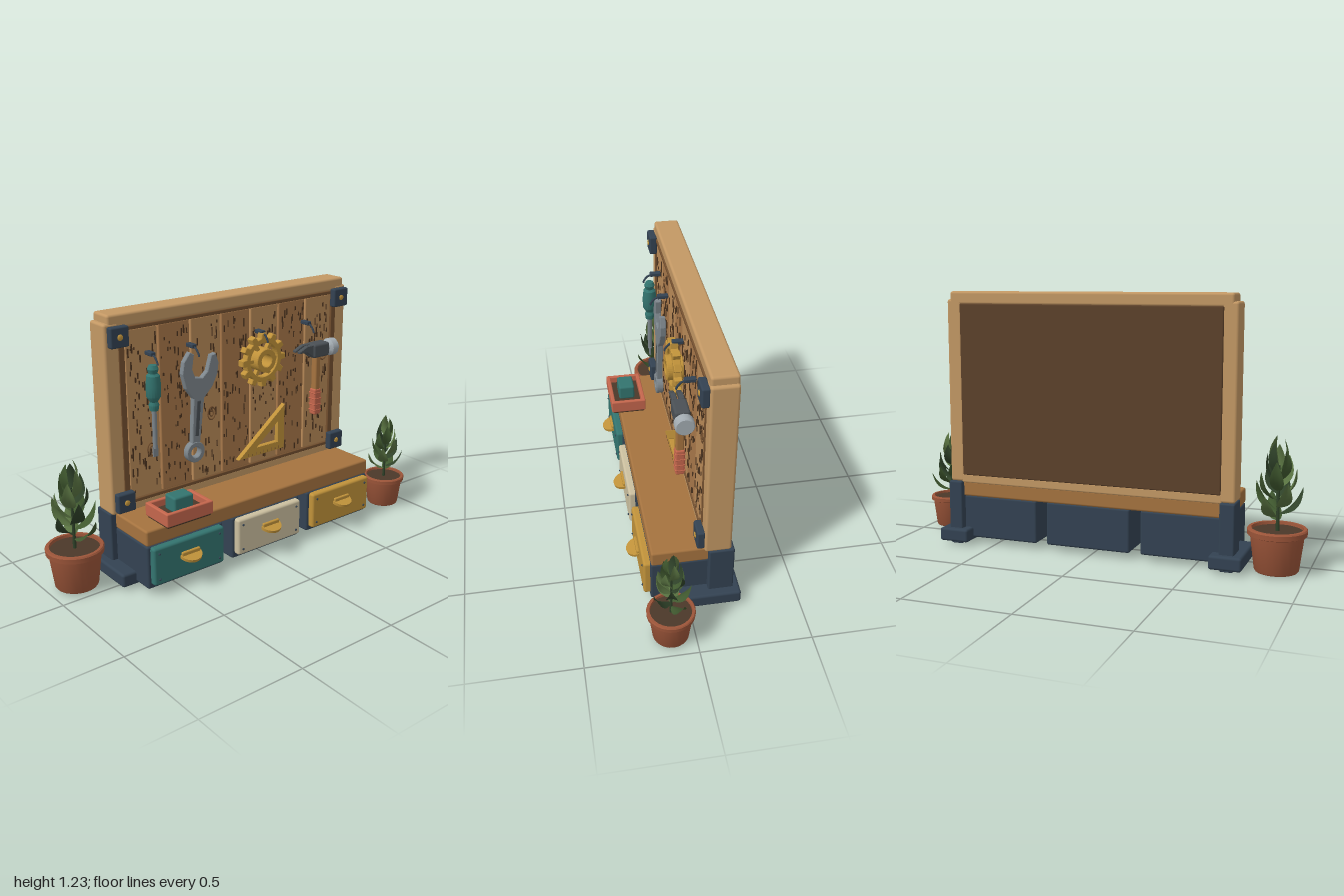
import * as THREE from 'three';
import { mergeGeometries, toCreasedNormals } from 'three/addons/utils/BufferGeometryUtils.js';
import { RoundedBoxGeometry } from 'three/addons/geometries/RoundedBoxGeometry.js';

const C = {
  frame: 0xc39864, trim: 0x74502f, panel: 0x5c412a, shelf: 0xa5733f, planks: [0xb98a58, 0xa8784a],
  grain: 0x4e3520, navy: 0x334252, teal: 0x33746f, cream: 0xcbbf9f, mustard: 0xc0923a, coral: 0xc4664c,
  steel: 0x7d868c, darkSteel: 0x4a5055, silver: 0xa3acb2, pot: 0x9c5539, soil: 0x4b3829,
  leaves: [0x40592f, 0x5a7442, 0x2f4229],
};

let seed = 7;
const rand = () => (seed = (seed * 16807) % 2147483647) / 2147483647;

function mesh(parent, name, geo, color, side = THREE.FrontSide) {
  const m = new THREE.Mesh(geo, new THREE.MeshStandardMaterial({ color, side }));
  m.name = name;
  parent.add(m);
  return m;
}

// Rounded box given by its extents on each axis
function box(parent, name, [x0, x1], [y0, y1], [z0, z1], color, r = 0.008) {
  const m = mesh(parent, name, new RoundedBoxGeometry(x1 - x0, y1 - y0, z1 - z0, 2, r), color);
  m.position.set((x0 + x1) / 2, (y0 + y1) / 2, (z0 + z1) / 2);
  return m;
}

// Flat plate with a small bevel, centred on z = 0
function plate(parent, name, shape, depth, color) {
  const b = 0.003;
  const geo = new THREE.ExtrudeGeometry(shape, {
    depth: depth - 2 * b, bevelThickness: b, bevelSize: b, bevelOffset: -b, bevelSegments: 1, curveSegments: 20 });
  geo.translate(0, 0, b - depth / 2);
  return mesh(parent, name, geo, color);
}

const polygon = pts => new THREE.Shape(pts.map(p => new THREE.Vector2(...p)));
const circle = (x, y, r) => new THREE.Path().absarc(x, y, r, 0, Math.PI * 2, true);
const lathe = (pts, n = 24) =>
  toCreasedNormals(new THREE.LatheGeometry(pts.map(p => new THREE.Vector2(...p)), n), 0.6);

function group(parent, name, x, y, z) {
  const g = new THREE.Group();
  g.name = name;
  g.position.set(x, y, z);
  parent.add(g);
  return g;
}

function buildBoard(root) {
  const g = group(root, 'toolBoard', 0, 0, 0);
  // Outer frame
  for (const x of [-0.69, 0.645]) box(g, 'framePost', [x, x + 0.075], [0.31, 1.19], [-0.19, -0.07], C.frame, 0.012);
  box(g, 'topRail', [-0.67, 0.705], [1.165, 1.227], [-0.19, -0.072], C.frame, 0.012);
  box(g, 'bottomRail', [-0.63, 0.66], [0.305, 0.35], [-0.19, -0.072], C.frame, 0.008);
  box(g, 'backPanel', [-0.625, 0.65], [0.345, 1.17], [-0.197, -0.1], C.panel, 0.006);
  // Dark inner trim
  for (const x of [-0.622, 0.625]) box(g, 'sideTrim', [x, x + 0.03], [0.345, 1.17], [-0.15, -0.068], C.trim, 0.004);
  for (const y of [0.345, 1.15]) box(g, 'crossTrim', [-0.6, 0.63], [y, y + 0.018], [-0.15, -0.068], C.trim, 0.004);
  // Planks and their grain
  const w = 1.217 / 7, grain = [];
  for (let i = 0; i < 7; i++) {
    const x = -0.592 + i * w;
    box(g, 'plank', [x + 0.003, x + w - 0.003], [0.362, 1.152], [-0.12, -0.073], C.planks[i % 2], 0.006);
    for (let k = 0; k < 65; k++) {
      const s = new THREE.BoxGeometry(0.004 + rand() * 0.003, 0.008 + rand() * 0.035, 0.006);
      s.translate(x + 0.014 + rand() * (w - 0.028), 0.39 + rand() * 0.73, -0.0725);
      grain.push(s);
    }
  }
  mesh(g, 'woodGrain', mergeGeometries(grain), C.grain);
  for (const [x, y] of [[-0.47, 0.58], [-0.13, 0.68], [0.58, 0.85]])
    for (const r of [0.01, 0.022]) {
      const knot = mesh(g, 'woodKnot', new THREE.TorusGeometry(r, 0.003, 6, 16), C.trim);
      knot.position.set(x, y, -0.072);
      knot.scale.y = 1.4;
    }
  // Corner brackets with a rivet
  for (const x of [-0.63, 0.663]) for (const y of [0.37, 1.133]) {
    box(g, 'cornerBracket', [x - 0.046, x + 0.046], [y - 0.046, y + 0.046], [-0.073, -0.037], C.navy, 0.008);
    const rivet = mesh(g, 'bracketRivet', new THREE.SphereGeometry(0.014, 12, 8), C.mustard);
    rivet.position.set(x, y, -0.037);
    rivet.scale.z = 0.4;
  }
}

function buildBench(root) {
  const g = group(root, 'bench', 0, 0, 0);
  box(g, 'shelf', [-0.663, 0.695], [0.237, 0.312], [-0.18, 0.163], C.shelf, 0.01);
  // Three cabinets, each with a drawer front, handle and screws
  [[-0.455, C.teal], [0.014, C.cream], [0.483, C.mustard]].forEach(([x, color]) => {
    const d = group(g, 'drawer', x, 0, 0);
    box(d, 'cabinet', [-0.208, 0.208], [0.03, 0.238], [-0.17, 0.165], C.navy, 0.01);
    box(d, 'drawerFront', [-0.193, 0.193], [0.052, 0.234], [0.15, 0.195], color, 0.012);
    const grip = mesh(d, 'handle', new THREE.CylinderGeometry(0.055, 0.055, 0.014, 20, 1, false, -Math.PI / 2, Math.PI), C.mustard, THREE.DoubleSide);
    grip.position.set(0, 0.157, 0.193);
    grip.rotation.x = 0.3;
    box(d, 'handlePlate', [-0.05, 0.05], [0.155, 0.178], [0.19, 0.206], C.mustard, 0.006);
    for (const sx of [-0.165, 0.165]) for (const y of [0.08, 0.205]) {
      const s = mesh(d, 'screw', new THREE.SphereGeometry(0.006, 8, 6), C.navy);
      s.position.set(sx, y, 0.195);
    }
  });
  // Uprights standing on broad feet
  for (const s of [-1, 1]) {
    const f = group(g, 'foot', 0.016 + s * 0.673, 0, 0);
    box(f, 'upright', [-0.035, 0.035], [0.02, 0.312], [-0.205, -0.09], C.navy, 0.008);
    box(f, 'footBase', [-0.075, 0.075], [0.016, 0.08], [-0.235, 0.065], C.navy, 0.012);
    box(f, 'footPad', [-0.03, 0.03], [0, 0.03], [-0.2, -0.09], C.navy, 0.006);
  }
  // Open tray with a small block
  const t = group(g, 'tray', -0.456, 0, 0.118);
  box(t, 'trayBase', [-0.118, 0.118], [0.312, 0.352], [-0.08, 0.08], C.soil, 0.005);
  for (const s of [-1, 1]) {
    box(t, 'trayWall', [s * 0.115 - 0.01, s * 0.115 + 0.01], [0.322, 0.385], [-0.088, 0.088], C.coral, 0.006);
    box(t, 'trayWall', [-0.12, 0.12], [0.322, 0.385], [s * 0.078 - 0.01, s * 0.078 + 0.01], C.coral, 0.006);
  }
  box(t, 'trayBlock', [-0.052, 0.052], [0.35, 0.425], [-0.04, 0.04], C.teal, 0.01);
}

function buildTools(root) {
  // Hooks
  const bend = new THREE.CatmullRomCurve3([[-0.08, 1.035], [-0.04, 1.035], [-0.01, 1.028], [0.01, 1.005], [0.013, 0.995]]
    .map(([z, y]) => new THREE.Vector3(0, y, z)));
  for (const x of [-0.478, -0.258, 0.142, 0.435]) {
    const h = group(root, 'hook', x, 0, 0);
    mesh(h, 'hookWire', new THREE.TubeGeometry(bend, 12, 0.005, 6), C.navy);
    box(h, 'hookBlock', [-0.013, 0.013], [1.028, 1.046], [-0.072, -0.02], C.navy, 0.004);
  }
  // Screwdriver
  const s = group(root, 'screwdriver', -0.485, 0, -0.018);
  mesh(s, 'screwdriverHandle', lathe([[0, 0.785], [0.02, 0.785], [0.024, 0.81], [0.018, 0.825], [0.033, 0.85],
    [0.035, 0.9], [0.03, 0.945], [0.02, 0.955], [0.026, 0.975], [0.018, 0.992], [0, 0.995]], 16), C.teal);
  mesh(s, 'screwdriverShaft', new THREE.CylinderGeometry(0.011, 0.011, 0.19, 12), C.steel).position.y = 0.7;
  box(s, 'screwdriverTip', [-0.014, 0.014], [0.565, 0.615], [-0.004, 0.004], C.steel, 0.003);

  // Wrench: open jaw above, ring below
  const w = group(root, 'wrench', -0.231, 0.91, -0.028);
  w.rotation.z = -0.09;
  const body = polygon([[-0.022, -0.34], [-0.03, -0.12], [-0.075, -0.07], [-0.1, 0], [-0.095, 0.055], [-0.066, 0.1],
    [-0.042, 0.088], [-0.047, 0.02], [-0.028, -0.02], [0.012, -0.025], [0.04, 0.005], [0.055, 0.078],
    [0.08, 0.085], [0.1, 0.04], [0.098, -0.01], [0.073, -0.07], [0.03, -0.12], [0.022, -0.34]]);
  plate(w, 'wrenchBody', body, 0.028, C.steel);
  box(w, 'wrenchGroove', [-0.011, 0.011], [-0.3, -0.13], [-0.016, 0.016], C.darkSteel, 0.004);
  const ring = new THREE.Shape().absarc(0, -0.378, 0.05, 0, Math.PI * 2);
  ring.holes.push(circle(0, -0.378, 0.026));
  plate(w, 'wrenchRing', ring, 0.034, C.steel);

  // Gear with hub and spokes
  const g = group(root, 'gear', 0.142, 0.905, -0.03);
  const teeth = [];
  for (let i = 0; i < 12; i++)
    for (const [da, r] of [[-0.16, 0.108], [-0.1, 0.132], [0.1, 0.132], [0.16, 0.108]]) {
      const a = (i / 12) * Math.PI * 2 + da;
      teeth.push([r * Math.cos(a), r * Math.sin(a)]);
    }
  const rim = polygon(teeth);
  rim.holes.push(circle(0, 0, 0.082));
  plate(g, 'gearRim', rim, 0.036, C.mustard);
  const hub = new THREE.Shape().absarc(0, 0, 0.058, 0, Math.PI * 2);
  hub.holes.push(circle(0, 0, 0.03));
  plate(g, 'gearHub', hub, 0.075, C.mustard);
  for (let i = 0; i < 6; i++) {
    const a = (i / 6) * Math.PI * 2;
    const spoke = mesh(g, 'gearSpoke', new THREE.BoxGeometry(0.045, 0.016, 0.024), C.mustard);
    spoke.position.set(0.068 * Math.cos(a), 0.068 * Math.sin(a), 0);
    spoke.rotation.z = a;
  }

  // Set square with measuring marks
  const q = group(root, 'setSquare', 0, 0, -0.03);
  const tri = polygon([[-0.01, 0.425], [0.28, 0.425], [0.28, 0.655]]);
  tri.holes.push(new THREE.Path([[0.105, 0.468], [0.237, 0.572], [0.237, 0.468]].map(p => new THREE.Vector2(...p))));
  plate(q, 'setSquarePlate', tri, 0.026, C.mustard);
  for (let i = 0; i < 9; i++)
    box(q, 'setSquareMark', [0.05 + i * 0.024, 0.053 + i * 0.024], [0.43, i % 2 ? 0.44 : 0.446], [0.011, 0.015], C.trim, 0.001);

  // Hammer
  const h = group(root, 'hammer', 0.467, 0.905, 0);
  box(h, 'hammerHandle', [-0.016, 0.016], [-0.32, 0.02], [-0.018, 0.018], C.shelf, 0.008);
  box(h, 'hammerGrip', [-0.022, 0.022], [-0.335, -0.2], [-0.021, 0.021], C.coral, 0.008);
  for (let i = 0; i < 4; i++)
    box(h, 'gripRidge', [-0.024, 0.024], [-0.315 + i * 0.03, -0.308 + i * 0.03], [-0.023, 0.023], C.coral, 0.003);
  box(h, 'hammerHead', [-0.045, 0.06], [-0.034, 0.036], [-0.034, 0.034], C.darkSteel, 0.012);
  const claw = polygon([[-0.04, -0.03], [-0.04, 0.034], [-0.085, 0.033], [-0.132, 0.012], [-0.132, 0.003], [-0.085, 0.003]]);
  for (const z of [-0.016, 0.016]) plate(h, 'hammerClaw', claw, 0.022, C.darkSteel).position.z = z;
  const face = mesh(h, 'hammerFace', lathe([[0, 0], [0.028, 0], [0.028, 0.015], [0.043, 0.028], [0.043, 0.062], [0.038, 0.068], [0, 0.068]], 20), C.silver);
  face.rotation.z = -Math.PI / 2;
  face.position.x = 0.05;
}

// Pointed leaf growing along +y from its stalk, cupped and slightly bent
function leafGeometry(len, wid) {
  const geo = new THREE.PlaneGeometry(1, 1, 4, 8), p = geo.attributes.position;
  for (let i = 0; i < p.count; i++) {
    const u = p.getX(i) * 2, t = p.getY(i) + 0.5;
    const half = wid / 2 * (0.04 + 0.96 * Math.sin(Math.PI * Math.pow(t, 0.85)) ** 0.9);
    p.setXYZ(i, u * half, t * len, Math.abs(u) * half * 0.35 + 0.12 * len * Math.sin(t * Math.PI));
  }
  geo.computeVertexNormals();
  return geo;
}

function buildPlant(root, x, z, scale, turn) {
  const g = group(root, 'pottedPlant', x, 0, z);
  g.scale.setScalar(scale);
  mesh(g, 'pot', lathe([[0, 0.008], [0.076, 0.008], [0.08, 0.014], [0.096, 0.138], [0.106, 0.142], [0.107, 0.16],
    [0.103, 0.165], [0.092, 0.165], [0.089, 0.145]]), C.pot, THREE.DoubleSide);
  mesh(g, 'soil', new THREE.CylinderGeometry(0.091, 0.088, 0.012, 24), C.soil).position.y = 0.148;
  mesh(g, 'stem', new THREE.CylinderGeometry(0.004, 0.007, 0.24, 8), C.leaves[2]).position.y = 0.27;
  const n = 17;
  for (let i = 0; i < n; i++) {
    const k = i / (n - 1);
    const leaf = mesh(g, 'leaf', leafGeometry(0.135 - 0.02 * k, 0.055 - 0.01 * k), C.leaves[i % 3], THREE.DoubleSide);
    leaf.position.y = 0.19 + 0.19 * k;
    leaf.rotation.set(0.85 - 0.75 * k, turn + i * 2.4, 0, 'YXZ');
  }
}

export function createModel() {
  const root = new THREE.Group();
  root.name = 'toolWall';
  buildBoard(root);
  buildBench(root);
  buildTools(root);
  buildPlant(root, -0.865, -0.117, 1.24, 0.4);
  buildPlant(root, 0.887, 0.108, 1, 2);
  return root;
}
